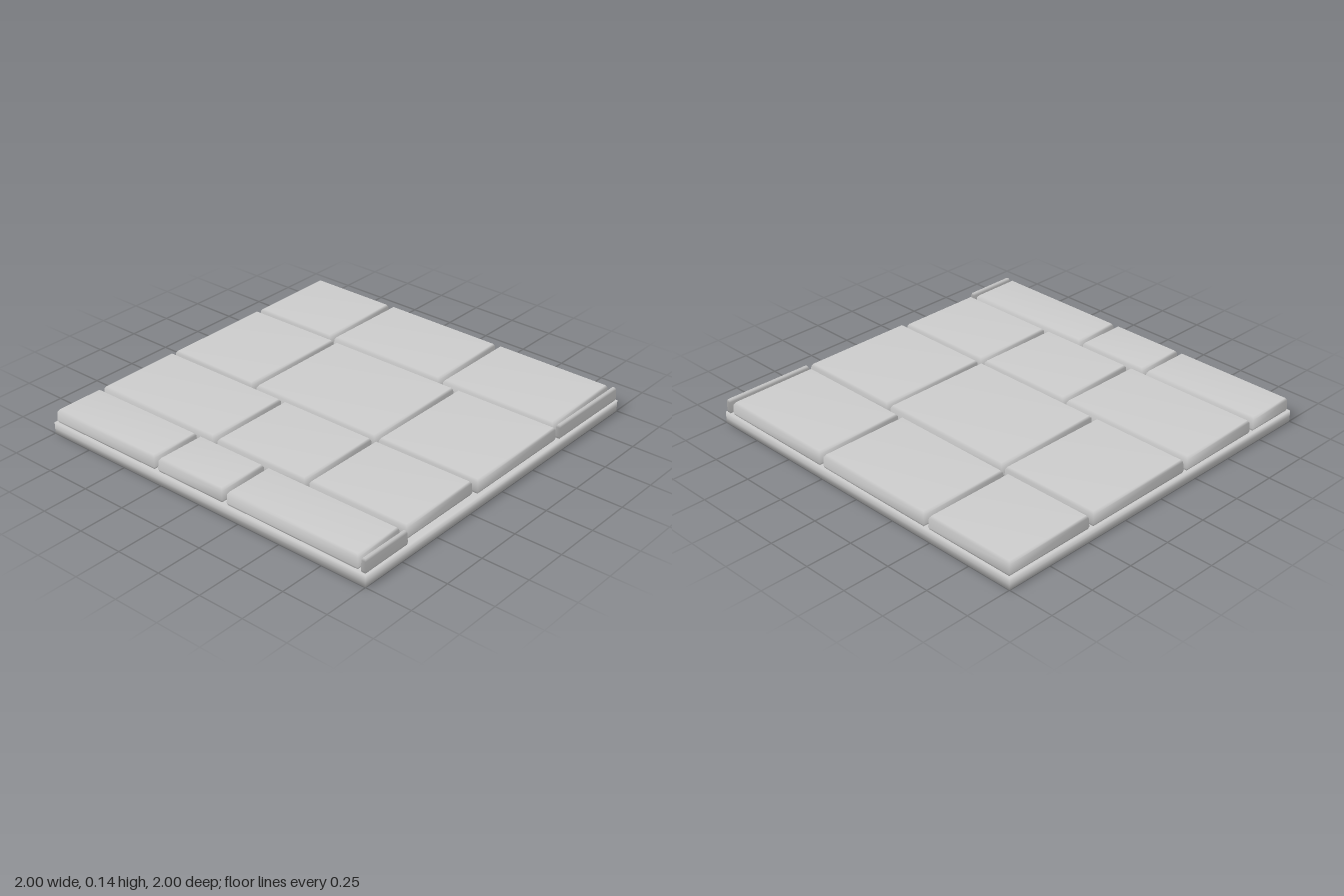
import * as THREE from 'three';

const material = new THREE.MeshStandardMaterial({ color: 0xcccccc });

// Small seeded wobble for hand-cut stone corners
let seed = 7;
function wobble(amount) {
  seed = (seed * 16807) % 2147483647;
  return (seed / 2147483647 - 0.5) * 2 * amount;
}

// Smooth-shaded block from rectangular rings: each ring is [height, inset]
function block(name, x0, x1, z0, z1, rings, jitter = 0) {
  const corners = [[x0, z1, 1, -1], [x1, z1, -1, -1], [x1, z0, -1, 1], [x0, z0, 1, 1]]
    .map(([x, z, sx, sz]) => [x + sx * Math.abs(wobble(jitter)), z + sz * Math.abs(wobble(jitter)), sx, sz]);
  const positions = [];
  const index = [];
  for (const [y, inset] of rings) {
    for (const [x, z, sx, sz] of corners) positions.push(x + sx * inset, y, z + sz * inset);
  }
  for (let r = 0; r < rings.length - 1; r++) {
    for (let i = 0; i < 4; i++) {
      const a = r * 4 + i;
      const b = r * 4 + (i + 1) % 4;
      index.push(a, b, b + 4, a, b + 4, a + 4);
    }
  }
  const t = (rings.length - 1) * 4;
  index.push(0, 2, 1, 0, 3, 2, t, t + 1, t + 2, t, t + 2, t + 3);
  const geometry = new THREE.BufferGeometry();
  geometry.setAttribute('position', new THREE.Float32BufferAttribute(positions, 3));
  geometry.setIndex(index);
  geometry.computeVertexNormals();
  const mesh = new THREE.Mesh(geometry, material);
  mesh.name = name;
  return mesh;
}

export function createModel() {
  const model = new THREE.Group();
  model.name = 'pavingTile';

  // Mortar bed under the stones
  model.add(block('mortarBed', -1, 1, -1, 1, [[0, 0], [0.03, 0], [0.062, 0]]));

  // Courses of paving stones, back to front: z range and x ranges
  const courses = [
    { z: [-0.995, -0.485], x: [[-0.993, -0.48], [-0.46, 0.25], [0.27, 0.95], [0.965, 0.993]] },
    { z: [-0.465, 0.175], x: [[-0.993, -0.435], [-0.415, 0.37], [0.39, 0.985]] },
    { z: [0.19, 0.68], x: [[-0.993, -0.215], [-0.195, 0.37], [0.39, 0.97]] },
    { z: [0.7, 0.992], x: [[-0.993, -0.3], [-0.28, 0.145], [0.165, 0.95], [0.965, 0.993]] },
  ];
  courses.forEach(({ z, x }, row) => {
    const course = new THREE.Group();
    course.name = `stoneCourse${row + 1}`;
    x.forEach(([x0, x1], i) => {
      // Narrow cut pieces close the course at the edge and get a finer bevel
      const sliver = x1 - x0 < 0.1;
      const bevel = sliver ? 0.006 : 0.012;
      const rings = [[0.058, bevel / 2], [0.074, 0], [0.122, bevel / 4], [0.135, bevel]];
      course.add(block(sliver ? 'edgeSliver' : `stone${i + 1}`, x0, x1, z[0], z[1], rings, sliver ? 0.002 : 0.005));
    });
    model.add(course);
  });
  return model;
}
